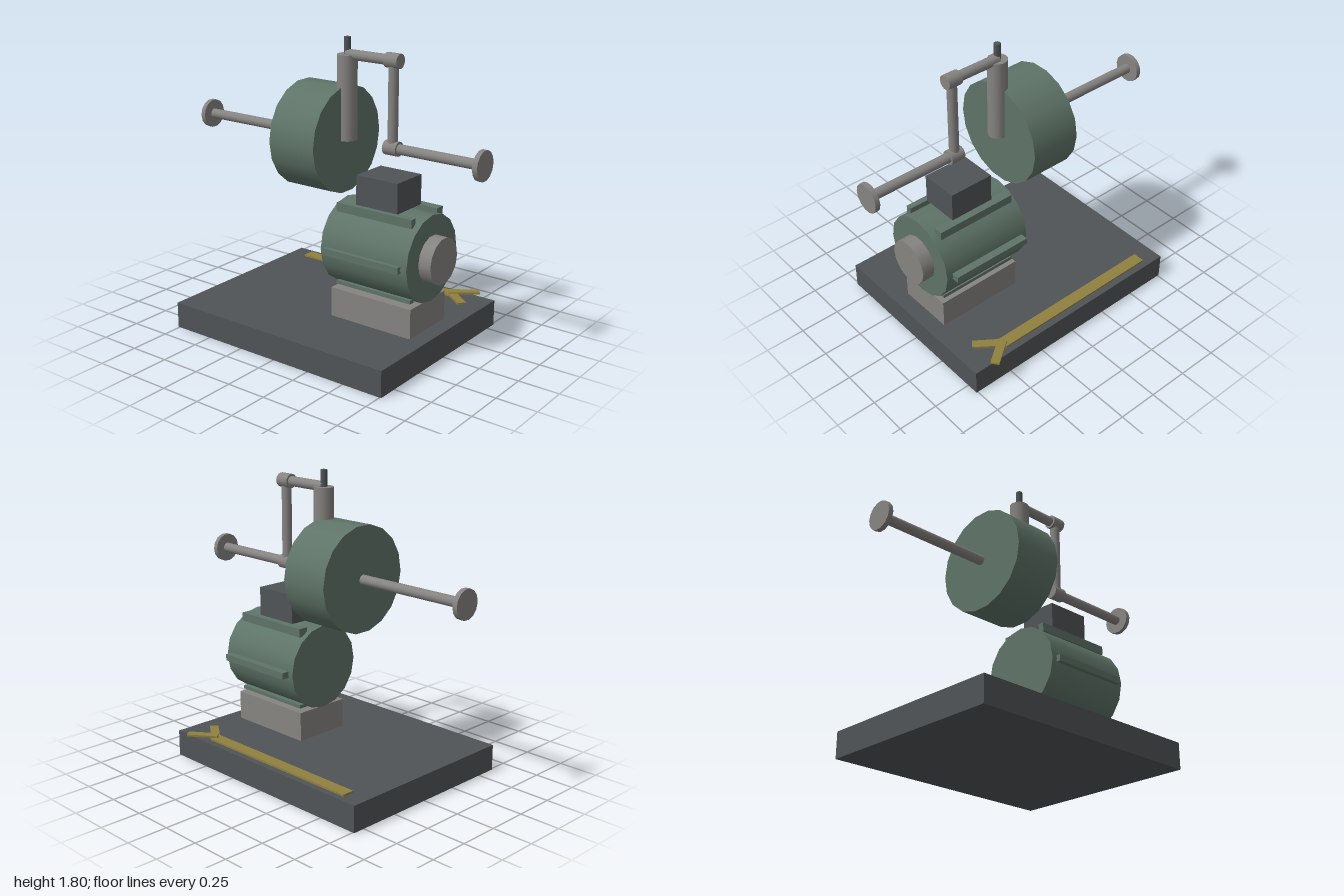
import * as THREE from 'three';

const mat = (name, color) => {
  const m = new THREE.MeshStandardMaterial({ color });
  m.name = name;
  return m;
};

export function createModel() {
  const group = new THREE.Group();
  const iron = mat('dark iron', 0x505456);
  const green = mat('machine green', 0x5f7468);
  const steel = mat('grey steel', 0x868481);
  const brass = mat('brass', 0x90803f);
  const CX = -0.025; // machine axis, slightly off the centre line

  const add = (name, geometry, material) => {
    const mesh = new THREE.Mesh(geometry, material);
    mesh.name = name;
    group.add(mesh);
    return mesh;
  };
  // Box from its low and high limits on each axis
  const box = (name, material, [x0, x1], [y0, y1], [z0, z1]) =>
    add(name, new THREE.BoxGeometry(x1 - x0, y1 - y0, z1 - z0), material)
      .position.set((x0 + x1) / 2, (y0 + y1) / 2, (z0 + z1) / 2);
  // Cylinder along z, with a corner on the x axis
  const rodZ = (name, material, r, y, z0, z1, sides = 14) => {
    const g = new THREE.CylinderGeometry(r, r, z1 - z0, sides, 1, false, Math.PI / 2);
    add(name, g.rotateX(Math.PI / 2), material).position.set(CX, y, (z0 + z1) / 2);
  };
  // Upright cylinder
  const rodY = (name, material, r, z, y0, y1, sides = 14) =>
    add(name, new THREE.CylinderGeometry(r, r, y1 - y0, sides), material)
      .position.set(CX, (y0 + y1) / 2, z);

  // Base and motor
  box('basePlate', iron, [-0.625, 0.575], [0, 0.16], [-0.76, 0.76]);
  box('motorMount', steel, [-0.205, 0.155], [0.16, 0.34], [0.1, 0.66]);
  rodZ('motorBody', green, 0.26, 0.6, 0.085, 0.68, 16);
  rodZ('motorEndCap', steel, 0.14, 0.6, 0.68, 0.76);
  box('junctionBox', iron, [-0.145, 0.095], [0.86, 1.04], [0.235, 0.52]);

  // Cooling fins along the motor
  const finZ = [0.12, 0.64];
  for (const x of [[-0.31, -0.26], [0.22, 0.28]]) box('sideFin', green, x, [0.58, 0.62], finZ);
  for (const x of [[-0.18, -0.143], [0.08, 0.14]]) {
    box('upperFin', green, x, [0.81, 0.862], finZ);
    box('lowerFin', green, x, [0.36, 0.382], finZ);
  }

  // Pump drum
  rodZ('drum', green, 0.32, 1.2, -0.24, 0.08, 18);
  rodY('riserPipe', steel, 0.06, 0.08, 1.2, 1.7);
  rodY('ventStack', iron, 0.02, 0.08, 1.7, 1.8, 10);

  // Pipework with elbows and end flanges
  rodZ('rearPipe', steel, 0.03, 1.2, -0.97, -0.24);
  rodZ('frontPipe', steel, 0.03, 1.2, 0.4, 0.97);
  rodZ('upperPipe', steel, 0.03, 1.7, 0.08, 0.4);
  rodY('dropPipe', steel, 0.03, 0.4, 1.2, 1.7);
  for (const y of [1.2, 1.7]) rodZ('elbow', steel, 0.043, y, 0.355, 0.445);
  for (const z of [-1, 0.97]) rodZ('flange', steel, 0.088, 1.2, z, z + 0.03);

  // Arrow lying on the base plate
  box('arrowShaft', brass, [0.46, 0.535], [0.16, 0.172], [-0.64, 0.5]);
  for (const s of [-1, 1]) {
    const barb = add('arrowBarb', new THREE.BoxGeometry(0.053, 0.012, 0.19), brass);
    barb.position.set(0.495 + s * 0.047, s < 0 ? 0.17 : 0.178, 0.563);
    barb.rotation.y = s * 0.63;
  }
  return group;
}
